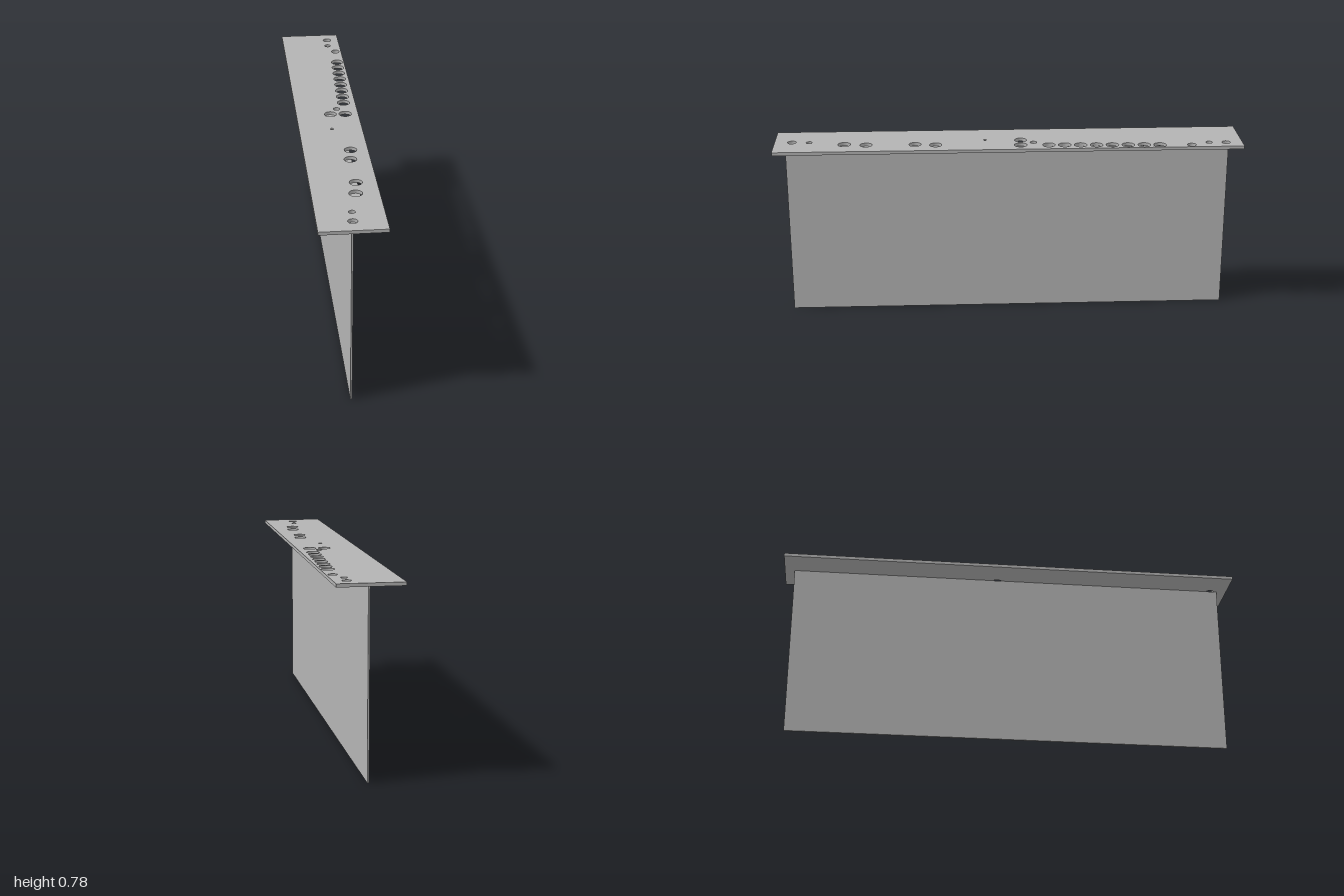
import * as THREE from 'three';

// Holes through the top plate: [x, z, radius]
const HOLES = [
  [0.08, -0.93, 0.018], [0.077, -0.857, 0.014], [0.106, -0.779, 0.019],
  [0.077, -0.05, 0.027], [0.013, -0.052, 0.026], [0.045, -0.106, 0.014],
  [0.005, 0.1, 0.007], [0.061, 0.312, 0.026], [0.051, 0.4, 0.026],
  [0.05, 0.608, 0.026], [0.039, 0.701, 0.027], [0.008, 0.852, 0.013],
  [0.003, 0.926, 0.019],
];
// Evenly spaced row of eight large holes
for (let i = 0; i < 8; i++) {
  const t = i / 7;
  HOLES.push([0.101 - 0.019 * t, -0.643 + 0.473 * t, 0.027]);
}

function polygon(points) {
  return new THREE.Shape(points.map(([x, y]) => new THREE.Vector2(x, y)));
}

export function createModel() {
  const group = new THREE.Group();
  group.name = 'drilledTBeam';
  const steel = new THREE.MeshStandardMaterial({ color: 0xb3b3b3 });
  steel.name = 'grey steel';

  // Drilled top plate, drawn in plan and extruded downwards
  const plan = polygon([[-0.134, -1], [0.133, -1], [0.133, 1], [-0.134, 1]]);
  for (const [x, z, r] of HOLES) {
    plan.holes.push(new THREE.Path().absarc(x, z, r, 0, Math.PI * 2, true));
  }
  const plateGeometry = new THREE.ExtrudeGeometry(plan, {
    depth: 0.014, bevelEnabled: false, curveSegments: 16,
  });
  plateGeometry.rotateX(Math.PI / 2);
  const plate = new THREE.Mesh(plateGeometry, steel);
  plate.name = 'topPlate';
  plate.position.y = 0.781;
  group.add(plate);

  // Upright sheet with a narrow folded lip under the plate
  const section = polygon([
    [-0.004, 0], [0.003, 0], [0.003, 0.761], [0.059, 0.761], [0.059, 0.767], [-0.004, 0.767],
  ]);
  const webGeometry = new THREE.ExtrudeGeometry(section, { depth: 1.914, bevelEnabled: false });
  webGeometry.translate(0, 0, -0.957);
  const web = new THREE.Mesh(webGeometry, steel);
  web.name = 'foldedWeb';
  group.add(web);

  return group;
}
